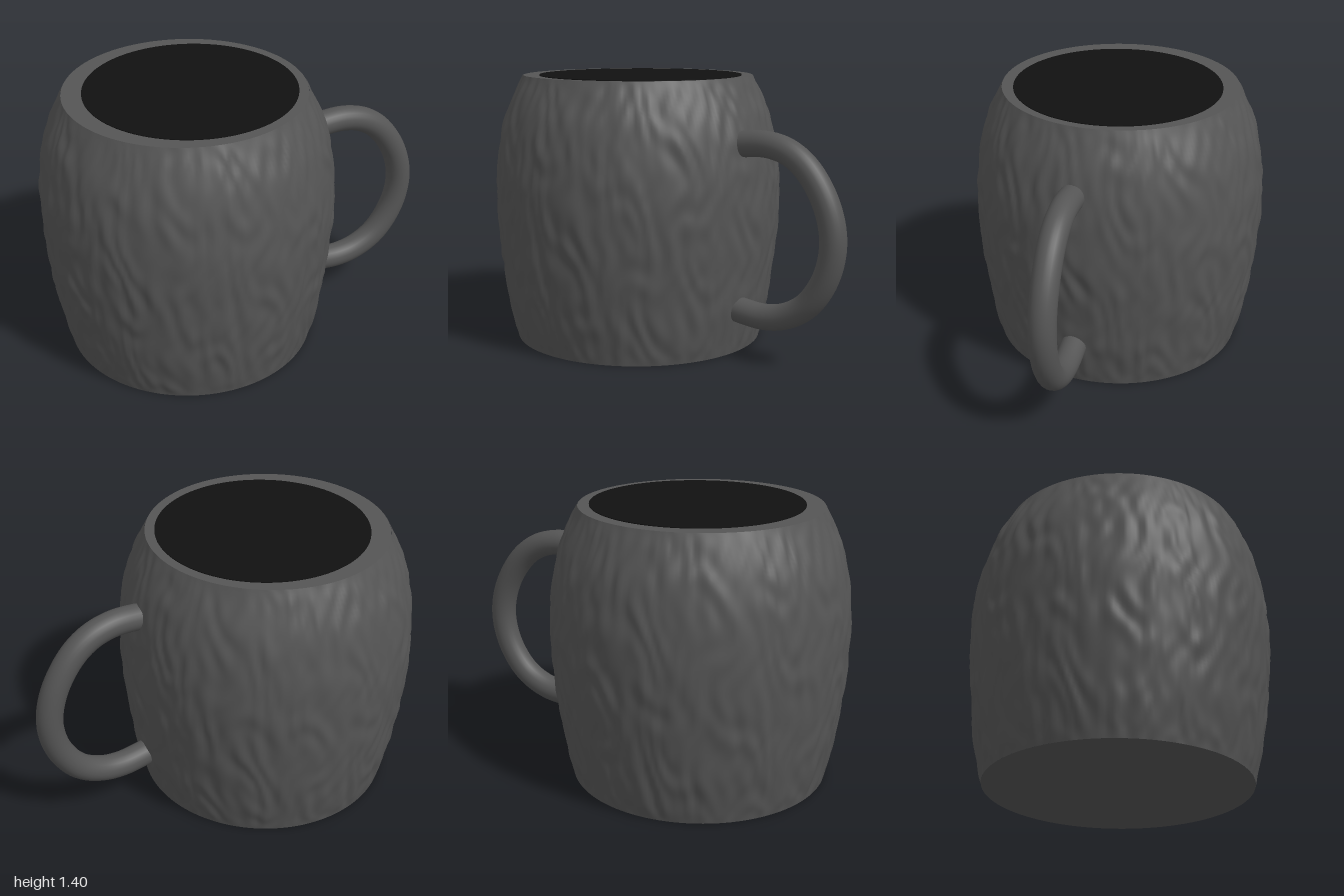
import * as THREE from 'three';
import { mergeVertices } from 'three/addons/utils/BufferGeometryUtils.js';

const grey = new THREE.MeshStandardMaterial({ color: 0x555555 });
const black = new THREE.MeshStandardMaterial({ color: 0x111111 });
const CENTER_X = -0.243;

function add(group, name, geometry, material = grey) {
  const mesh = new THREE.Mesh(geometry, material);
  mesh.name = name;
  group.add(mesh);
  return mesh;
}

// Shallow, vertically stretched hammered relief; periodic around the body
function relief(a, y) {
  const bend = 2.2 * Math.sin(7 * y + 5 * a) + 1.4 * Math.sin(11 * y - 9 * a);
  const n = Math.sin(26 * a + bend) * Math.sin(13 * y + 3 * Math.sin(8 * a) + 2 * Math.sin(17 * a));
  const fine = Math.sin(43 * a + 9 * y + 2 * Math.sin(15 * y));
  return 0.006 * n + 0.0025 * fine;
}

// Barrel wall, dented along the radius and fading out at both rims
function wallGeometry() {
  const profile = new THREE.SplineCurve([
    [0.658, 0], [0.7, 0.2], [0.728, 0.4], [0.746, 0.6], [0.753, 0.8],
    [0.738, 1.0], [0.695, 1.2], [0.606, 1.4],
  ].map(([r, y]) => new THREE.Vector2(r, y)));
  let geo = new THREE.LatheGeometry(profile.getPoints(84), 240);
  geo.deleteAttribute('uv');
  geo.deleteAttribute('normal');
  geo = mergeVertices(geo, 1e-4);
  const p = geo.attributes.position;
  for (let i = 0; i < p.count; i++) {
    const x = p.getX(i), y = p.getY(i), z = p.getZ(i);
    const fade = Math.min(1, y / 0.06, (1.4 - y) / 0.06);
    const k = 1 + fade * relief(Math.atan2(z, x), y) / Math.hypot(x, z);
    p.setXYZ(i, x * k, y, z * k);
  }
  geo.computeVertexNormals();
  return geo;
}

export function createModel() {
  const mug = new THREE.Group();
  mug.name = 'mug';

  // Body: wall, flat top and base
  const body = new THREE.Group();
  body.name = 'body';
  body.position.x = CENTER_X;
  mug.add(body);
  add(body, 'wall', wallGeometry());
  const top = add(body, 'rim', new THREE.CircleGeometry(0.606, 96));
  top.rotation.x = -Math.PI / 2;
  top.position.y = 1.397;
  const base = add(body, 'base', new THREE.CircleGeometry(0.658, 96));
  base.rotation.x = Math.PI / 2;

  // Dark drink surface, almost flush with the rim
  const drink = add(mug, 'drink', new THREE.CylinderGeometry(0.532, 0.532, 0.01, 96), black);
  drink.position.set(-0.217, 1.396, 0);

  // Handle: round tube, swung toward the back, ends buried in the wall
  const path = new THREE.CatmullRomCurve3([
    [0.4, 1.08], [0.58, 1.093], [0.7, 1.06], [0.8, 0.98], [0.895, 0.82], [0.93, 0.65],
    [0.9, 0.48], [0.81, 0.33], [0.7, 0.255], [0.58, 0.228], [0.4, 0.245],
  ].map(([x, y]) => new THREE.Vector3(x, y, -0.165 - (x - 0.42) * 0.36)));
  add(mug, 'handle', new THREE.TubeGeometry(path, 72, 0.066, 24));

  return mug;
}
